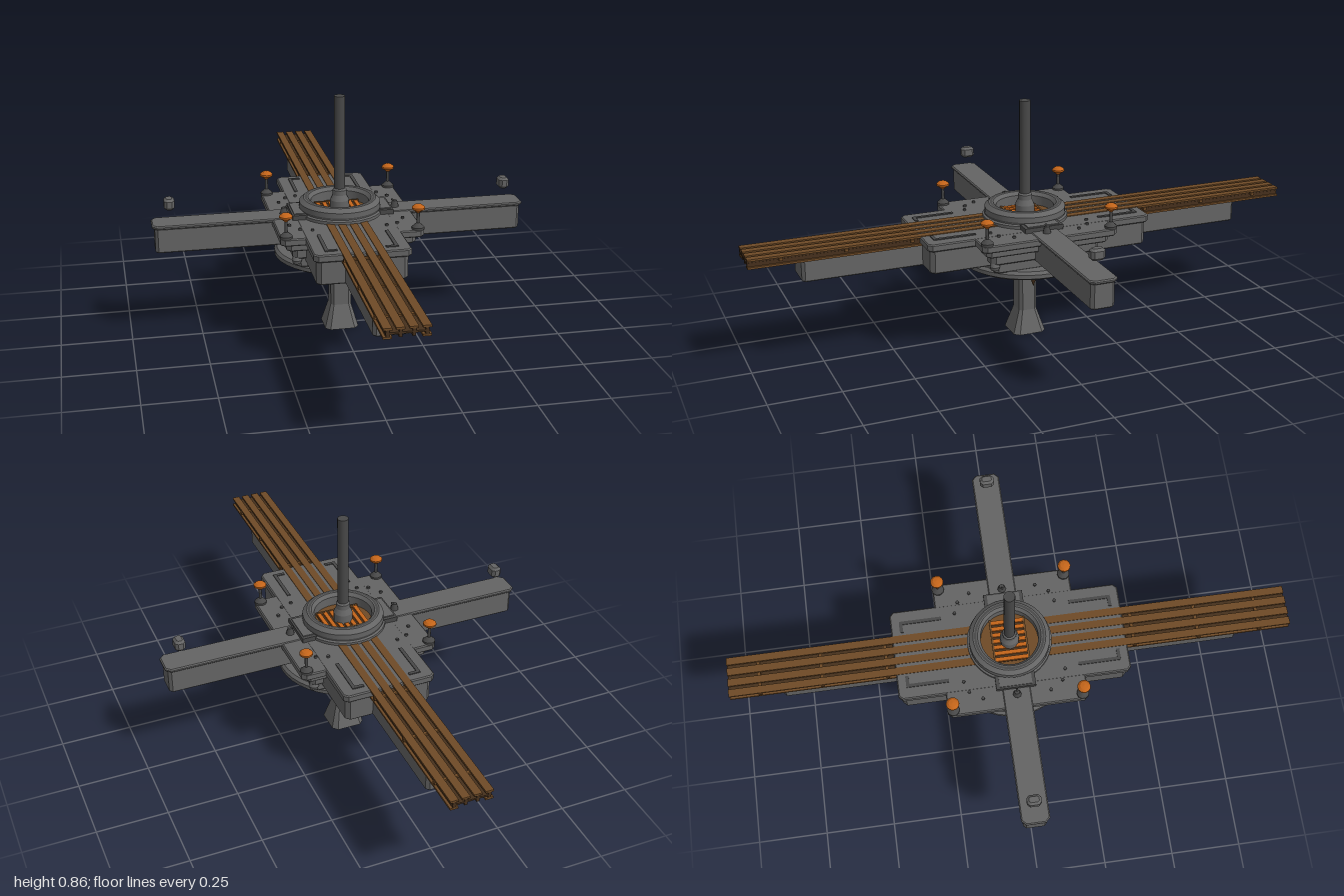
import * as THREE from 'three';

const mat = (name, color, side = THREE.FrontSide) => {
  const m = new THREE.MeshStandardMaterial({ color, side });
  m.name = name;
  return m;
};

export function createModel() {
  const root = new THREE.Group();
  root.name = 'junctionTower';
  const grey = mat('steel grey', 0x646464);
  const dark = mat('dark steel', 0x484848);
  const brown = mat('rail brown', 0x6e4a26);
  const umber = mat('dark umber', 0x46301c);
  const orange = mat('lamp orange', 0xc4651a);

  const add = (name, geo, m, x = 0, y = 0, z = 0, parent = root) => {
    const mesh = new THREE.Mesh(geo, m);
    mesh.name = name;
    mesh.position.set(x, y, z);
    parent.add(mesh);
    return mesh;
  };
  const box = (name, w, h, d, m, x, y, z, parent) =>
    add(name, new THREE.BoxGeometry(w, h, d), m, x, y, z, parent);

  // Flat slab from y0 to y1 with cut corners (c) and bevelled edges (b)
  const slabGeo = (hx, hz, y0, y1, c = 0.012, b = 0.004) => {
    const x = hx - b, z = hz - b;
    const s = new THREE.Shape([
      [x - c, -z], [x, c - z], [x, z - c], [x - c, z],
      [c - x, z], [-x, z - c], [-x, c - z], [c - x, -z],
    ].map(p => new THREE.Vector2(...p)));
    return new THREE.ExtrudeGeometry(s, {
      depth: y1 - y0 - 2 * b, bevelEnabled: b > 0, bevelSize: b, bevelThickness: b, bevelSegments: 1,
    }).rotateX(-Math.PI / 2).translate(0, y0 + b, 0);
  };
  const slab = (name, hx, hz, y0, y1, m = grey, c, b) => add(name, slabGeo(hx, hz, y0, y1, c, b), m);

  // Profile of [radius, y] pairs turned with crisp edges between the bands
  const turned = (name, pts, seg, m, x = 0, z = 0) => {
    const g = new THREE.Group();
    g.name = name;
    for (let i = 0; i < pts.length - 1; i++) {
      const band = [pts[i], pts[i + 1]].map(p => new THREE.Vector2(...p));
      add(name + 'Band', new THREE.LatheGeometry(band, seg), m, x, 0, z, g);
    }
    root.add(g);
  };

  // Lower column with its flared foot
  slab('column', 0.037, 0.033, 0.08, 0.3, grey, 0.01, 0);
  const foot = slabGeo(0.037, 0.033, 0, 0.085, 0.01, 0);
  const fp = foot.attributes.position;
  for (let i = 0; i < fp.count; i++) {
    if (fp.getY(i) < 0.01) fp.setXYZ(i, fp.getX(i) * 1.64, 0, fp.getZ(i) * 1.84);
  }
  foot.computeVertexNormals();
  add('columnFoot', foot, grey);

  // Saucer under the hub
  turned('saucer', [[0, 0.257], [0.125, 0.257], [0.215, 0.273], [0.234, 0.284],
    [0.234, 0.298], [0.225, 0.308], [0, 0.308]], 40, grey);

  // Stepped hub and cross-shaped platform
  slab('hubBase', 0.185, 0.185, 0.305, 0.345);
  slab('hubMiddle', 0.2, 0.2, 0.342, 0.383);
  slab('hubUpper', 0.225, 0.225, 0.38, 0.412);
  slab('platformSquare', 0.248, 0.248, 0.408, 0.434);
  slab('platformExtension', 0.165, 0.412, 0.408, 0.4345);
  slab('extensionBody', 0.155, 0.402, 0.325, 0.412);
  for (const sx of [-1, 1]) for (const sz of [-1, 1]) {
    turned('hubBulb', [[0, 0.317], [0.014, 0.323], [0.018, 0.335], [0.013, 0.348]], 10, grey, sx * 0.186, sz * 0.186);
  }

  // Four arms: two capped side arms and two girders beneath the track
  slab('sideArmBody', 0.655, 0.042, 0.336, 0.426, grey, 0.008);
  slab('sideArmCap', 0.664, 0.05, 0.424, 0.437, grey, 0.014);
  slab('trackGirder', 0.06, 0.82, 0.325, 0.405, grey, 0.008);

  // Track: deck, four I-section rails and crossing ties
  const track = new THREE.Group();
  track.name = 'track';
  root.add(track);
  box('trackDeck', 0.13, 0.006, 2, umber, 0, 0.42, 0, track);
  [-0.059, -0.02, 0.02, 0.059].forEach((x, i) => {
    const outer = i % 3 === 0;
    box('railTop', 0.027, 0.007, 2, brown, x, 0.4335, 0, track);
    box('railWeb', 0.01, 0.026, 2, umber, x, 0.42, 0, track);
    if (outer) box('railFlange', 0.027, 0.007, 2, brown, x, 0.406, 0, track);
  });
  for (const s of [-1, 1]) for (const z of [0.44, 0.67, 0.89]) {
    box('trackTie', 0.15, 0.01, 0.012, brown, 0, 0.424, s * z, track);
  }

  // Recessed-looking frames and bolts on the platform
  for (const sx of [-1, 1]) for (const sz of [-1, 1]) {
    box('panelFrameLong', 0.012, 0.006, 0.15, dark, sx * 0.118, 0.435, sz * 0.305);
    box('panelFrameEnd', 0.036, 0.006, 0.012, dark, sx * 0.1, 0.435, sz * 0.375);
    for (const [x, z] of [[0.17, 0.165], [0.2, 0.12], [0.13, 0.18]]) {
      add('deckBolt', new THREE.CylinderGeometry(0.006, 0.006, 0.008, 6), dark, sx * x, 0.437, sz * z);
    }
  }

  // Raised ring with clamps
  turned('hubRing', [[0.15, 0.43], [0.15, 0.445], [0.143, 0.449], [0.143, 0.474], [0.128, 0.487],
    [0.112, 0.487], [0.102, 0.475], [0.102, 0.43]], 40, grey);
  turned('ringSeam', [[0.1445, 0.452], [0.1445, 0.457]], 40, dark);
  turned('ringGroove', [[0.124, 0.4875], [0.116, 0.4875]], 40, dark);
  for (const s of [-1, 1]) {
    box('ringClamp', 0.055, 0.018, 0.14, dark, s * 0.152, 0.442, 0);
    box('clampPlate', 0.038, 0.005, 0.115, grey, s * 0.154, 0.452, 0);
    add('clampKnob', new THREE.CylinderGeometry(0.009, 0.016, 0.026, 8), dark, s * 0.2, 0.447, 0);
    add('clampPin', new THREE.CylinderGeometry(0.004, 0.004, 0.034, 6), dark, s * 0.2, 0.452, 0)
      .rotation.z = s * 0.7;
  }

  // Orange grate inside the ring
  add('ringFloor', new THREE.CylinderGeometry(0.102, 0.102, 0.01, 40), brown, 0, 0.436, 0);
  box('grateBed', 0.156, 0.004, 0.12, umber, 0, 0.442, 0);
  for (let i = 0; i < 7; i++) box('grateBar', 0.014, 0.008, 0.116, orange, (i - 3) * 0.023, 0.446, 0);
  for (const s of [-1, 1]) box('grateRail', 0.16, 0.009, 0.007, brown, 0, 0.447, s * 0.06);

  // Central mast
  turned('mastSocket', [[0.034, 0.44], [0.034, 0.478], [0.025, 0.497], [0.025, 0.515], [0.018, 0.522]], 12, grey);
  add('mast', new THREE.CylinderGeometry(0.0195, 0.0195, 0.42, 12), dark, 0, 0.645, 0);

  // Corner lamps
  for (const sx of [-1, 1]) for (const sz of [-1, 1]) {
    const x = sx * 0.228, z = sz * 0.228;
    turned('lampBase', [[0.022, 0.432], [0.022, 0.441], [0.01, 0.452], [0.0055, 0.455], [0.0055, 0.5]], 10, dark, x, z);
    turned('lampCap', [[0.006, 0.493], [0.013, 0.499], [0.023, 0.506], [0.023, 0.512], [0.014, 0.52], [0, 0.522]], 12, orange, x, z);
  }

  for (const s of [-1, 1]) {
    // Hovering pods over the side arms
    add('pod', slabGeo(0.018, 0.025, 0.483, 0.523, 0.005, 0.008), grey, s * 0.6, 0, 0);
    // Pointed plumb weights below the saucer
    turned('plumbWeight', [[0, 0.193], [0.006, 0.21], [0.012, 0.228], [0.006, 0.236], [0.006, 0.262]], 10, umber, s * 0.08, 0);
  }

  return root;
}
